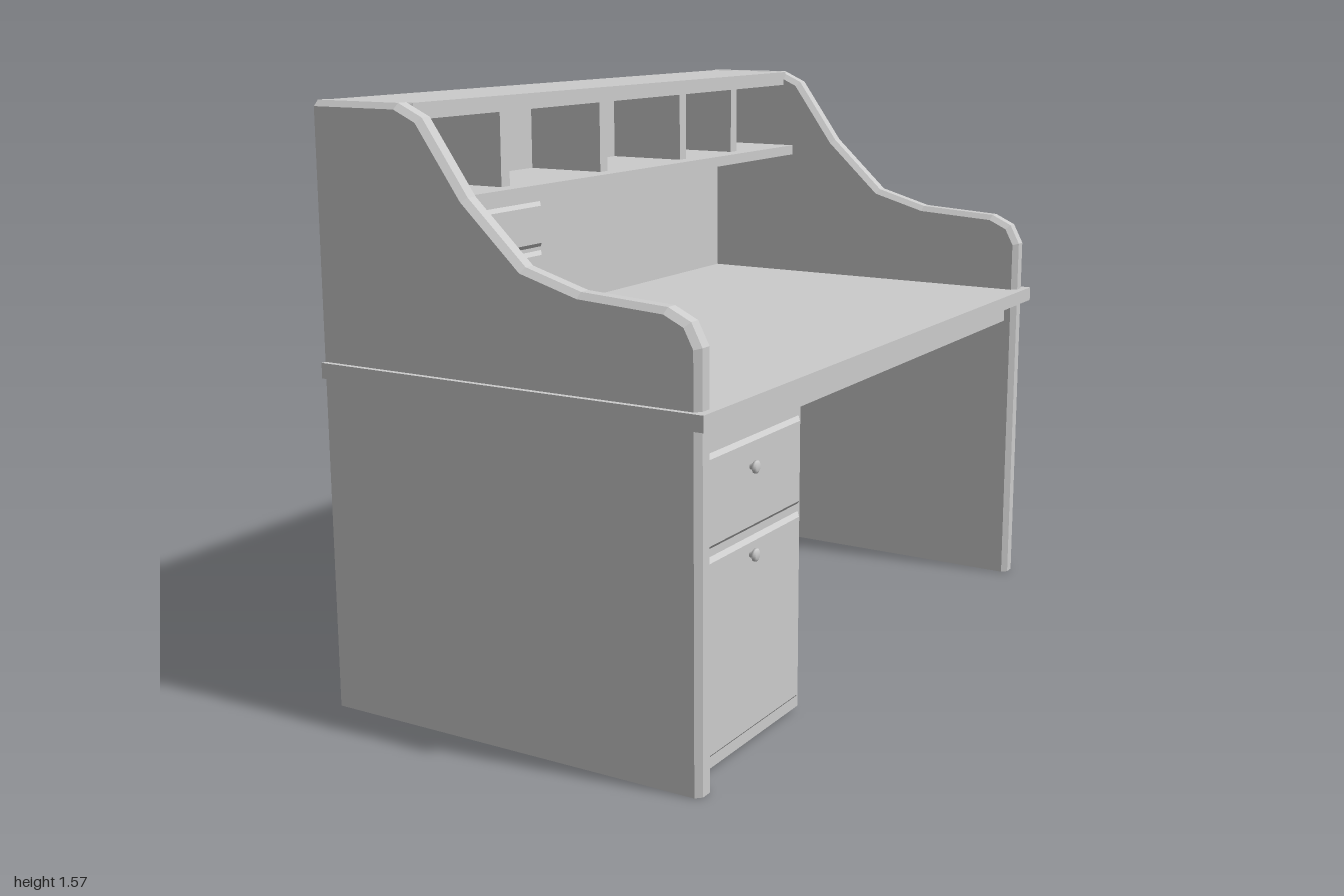
import * as THREE from 'three';

const mat = new THREE.MeshStandardMaterial({ color: 0xcccccc });
const BACK = -0.555;

function add(parent, name, geometry) {
  const mesh = new THREE.Mesh(geometry, mat);
  mesh.name = name;
  parent.add(mesh);
  return mesh;
}

// box given by its lower and upper limits on each axis
function box(parent, name, [x0, x1], [y0, y1], [z0, z1]) {
  const mesh = add(parent, name, new THREE.BoxGeometry(x1 - x0, y1 - y0, z1 - z0));
  mesh.position.set((x0 + x1) / 2, (y0 + y1) / 2, (z0 + z1) / 2);
  return mesh;
}

// x/y outline extruded along z with chamfers; the back and the cut heights stay square
function chamferedPanel(points, zMid, thickness, bevel, yMin, yMax) {
  const shape = new THREE.Shape(points.map(([x, y]) => new THREE.Vector2(x, y)));
  const g = new THREE.ExtrudeGeometry(shape, {
    depth: thickness - 2 * bevel, bevelEnabled: true, bevelThickness: bevel,
    bevelSize: bevel, bevelSegments: 1,
  });
  g.translate(0, 0, zMid - thickness / 2 + bevel);
  const p = g.attributes.position;
  for (let i = 0; i < p.count; i++) {
    p.setX(i, Math.max(BACK, p.getX(i)));
    p.setY(i, Math.min(yMax, Math.max(yMin, p.getY(i))));
  }
  g.computeVertexNormals();
  return g;
}

// raised drawer front with sloping edges, plus a turned knob, facing +x
function drawer(parent, name, x, [y0, y1], [z0, z1], knobY, knobZ) {
  const group = new THREE.Group();
  group.name = name;
  const b = 0.011;
  const w = z1 - z0 - 2 * b, h = y1 - y0 - 2 * b;
  const shape = new THREE.Shape([
    new THREE.Vector2(-w / 2, -h / 2), new THREE.Vector2(w / 2, -h / 2),
    new THREE.Vector2(w / 2, h / 2), new THREE.Vector2(-w / 2, h / 2),
  ]);
  const g = new THREE.ExtrudeGeometry(shape, {
    depth: 0.002, bevelEnabled: true, bevelThickness: 0.01, bevelSize: b, bevelSegments: 1,
  });
  g.rotateY(Math.PI / 2);
  add(group, 'drawerFront', g).position.set(x - 0.002, (y0 + y1) / 2, (z0 + z1) / 2);

  const profile = [[0.008, 0], [0.008, 0.008], [0.016, 0.012], [0.016, 0.018], [0.01, 0.022], [0, 0.022]];
  const knob = new THREE.LatheGeometry(profile.map(([r, y]) => new THREE.Vector2(r, y)), 16);
  knob.rotateZ(-Math.PI / 2);
  add(group, 'knob', knob).position.set(x + 0.009, knobY, knobZ);
  parent.add(group);
}

export function createModel() {
  const desk = new THREE.Group();
  desk.name = 'desk';

  // side panels, below and above the desktop
  const lower = [[BACK, 0], [0.525, 0], [0.525, 0.88], [BACK, 0.88]];
  const upper = [
    [BACK, 0.92], [0.525, 0.92], [0.525, 1.06], [0.5, 1.108], [0.447, 1.133], [0.215, 1.147],
    [0.055, 1.193], [-0.112, 1.348], [-0.241, 1.528], [-0.305, 1.557], [BACK, 1.557],
  ];
  for (const [side, s] of [['left', 1], ['right', -1]]) {
    add(desk, side + 'LowerSide', chamferedPanel(lower, s * 0.955, 0.06, 0.015, 0, 0.88));
    add(desk, side + 'UpperSide', chamferedPanel(upper, s * 0.955, 0.06, 0.015, 0.92, 1.6));
  }

  // desktop, the frame beneath it and the back
  const inner = [-0.93, 0.93];
  box(desk, 'desktop', [BACK, 0.56], [0.88, 0.92], [-1, 1]);
  box(desk, 'underFrame', [-0.565, 0.505], [0.82, 0.885], inner);
  box(desk, 'backRail', [-0.565, -0.55], [0.82, 0.905], [-0.945, 0.945]);
  box(desk, 'lowerBack', [BACK, -0.535], [0, 0.88], [-0.98, 0.98]);
  box(desk, 'upperBack', [BACK, -0.535], [0.92, 1.57], [-0.97, 0.97]);

  // top board with a chamfered front edge
  const board = [[BACK, 1.542], [-0.297, 1.542], [-0.297, 1.558], [BACK, 1.558]];
  add(desk, 'topBoard', chamferedPanel(board, 0, 1.9, 0.013, 1.53, 1.571));

  // shelf and its dividers
  box(desk, 'shelf', [-0.54, -0.25], [1.305, 1.335], inner);
  for (const z of [0.56, 0.105, -0.32, -0.625]) {
    box(desk, 'divider', [-0.54, -0.3], [1.335, 1.535], [z - 0.018, z + 0.018]);
  }

  // small drawer cabinet on the desktop
  box(desk, 'upperCabinet', [-0.54, -0.262], [0.92, 1.305], [0.455, 0.93]);
  drawer(desk, 'upperSmallDrawer', -0.262, [1.17, 1.29], [0.463, 0.917], 1.24, 0.705);
  drawer(desk, 'lowerSmallDrawer', -0.262, [0.93, 1.16], [0.463, 0.917], 1.095, 0.705);

  // pedestal with two drawers
  box(desk, 'pedestal', [-0.54, 0.485], [0.01, 0.82], [0.4, 0.93]);
  drawer(desk, 'upperPedestalDrawer', 0.485, [0.56, 0.79], [0.41, 0.917], 0.72, 0.67);
  drawer(desk, 'lowerPedestalDrawer', 0.485, [0.04, 0.54], [0.41, 0.917], 0.5, 0.67);

  return desk;
}
